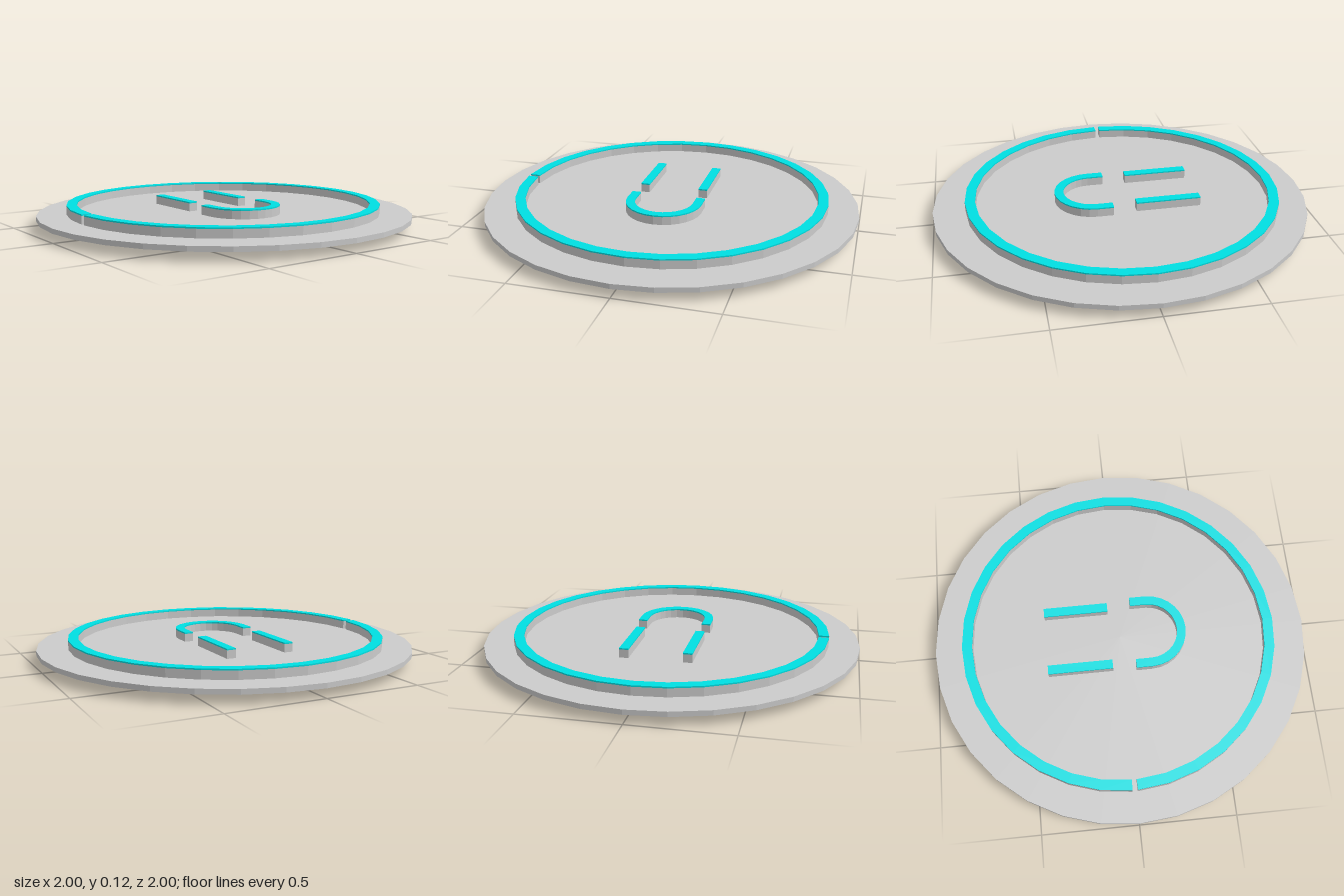
import * as THREE from 'three';

const grey = new THREE.MeshStandardMaterial({ color: 0xcccccc, flatShading: true });
const smoothGrey = new THREE.MeshStandardMaterial({ color: 0xcccccc });
const cyan = new THREE.MeshStandardMaterial({ color: 0x00dfe2, flatShading: true });

const DISC_BOTTOM = 0.045, DISC_TOP = 0.07, CAP_BOTTOM = 0.113, TOP = 0.12;

// Outline points along an arc, in plan (x, z)
function arc(cx, cz, r, from, to, steps) {
  const pts = [];
  for (let i = 0; i <= steps; i++) {
    const a = from + (to - from) * i / steps;
    pts.push(new THREE.Vector2(cx + r * Math.cos(a), cz + r * Math.sin(a)));
  }
  return pts;
}

// Raises a plan outline from one height to another
function slab(outline, bottom, top, material, name) {
  const shape = new THREE.Shape(outline.map(p => new THREE.Vector2(p.x, -p.y)));
  const geo = new THREE.ExtrudeGeometry(shape, { depth: top - bottom, bevelEnabled: false });
  geo.rotateX(-Math.PI / 2);
  geo.translate(0, bottom, 0);
  const mesh = new THREE.Mesh(geo, material);
  mesh.name = name;
  return mesh;
}

// Grey raised body with a thin cyan cap
function raised(outline, name) {
  const group = new THREE.Group();
  group.name = name;
  group.add(slab(outline, DISC_TOP, CAP_BOTTOM, grey, name + 'Body'));
  group.add(slab(outline, CAP_BOTTOM, TOP, cyan, name + 'Cap'));
  return group;
}

function rect(x0, x1, z0, z1) {
  return [[x0, z0], [x1, z0], [x1, z1], [x0, z1]].map(p => new THREE.Vector2(...p));
}

// Wire lying under the disc; its last point turns up into the disc
function wire(plan, name) {
  const r = 0.008;
  const pts = plan.map(([x, z]) => new THREE.Vector3(x, r, z));
  const end = pts[pts.length - 1];
  pts.push(new THREE.Vector3(end.x, 0.02, end.z), new THREE.Vector3(end.x, DISC_BOTTOM + 0.01, end.z));
  const curve = new THREE.CatmullRomCurve3(pts, false, 'centripetal');
  const group = new THREE.Group();
  group.name = name;
  group.add(new THREE.Mesh(new THREE.TubeGeometry(curve, 48, r, 8), smoothGrey));
  // Closed free end
  const tip = new THREE.Mesh(new THREE.SphereGeometry(r, 8, 6), smoothGrey);
  tip.position.copy(pts[0]);
  tip.name = name + 'Tip';
  group.add(tip);
  return group;
}

export function createModel() {
  const model = new THREE.Group();
  model.name = 'emblemDisc';

  // Base disc
  const disc = new THREE.Mesh(new THREE.CylinderGeometry(1, 1, DISC_TOP - DISC_BOTTOM, 32), grey);
  disc.position.y = (DISC_BOTTOM + DISC_TOP) / 2;
  disc.name = 'baseDisc';
  model.add(disc);

  // Rim ring, split by a narrow gap on the right
  const ringZ = -0.01, gap = 0.012;
  const a0 = -Math.PI + gap, a1 = Math.PI - gap - 0.008;
  model.add(raised([
    ...arc(0, ringZ, 0.84, a0, a1, 32),
    ...arc(0, ringZ, 0.787, a1, a0, 32),
  ], 'rimRing'));

  // Two straight bars
  model.add(raised(rect(-0.19, -0.142, -0.4, -0.055), 'rightBar'));
  model.add(raised(rect(0.136, 0.184, -0.4, -0.055), 'leftBar'));

  // U-shaped bar
  model.add(raised([
    new THREE.Vector2(0.203, 0.07),
    ...arc(0.002, 0.155, 0.201, 0, Math.PI, 14),
    new THREE.Vector2(-0.199, 0.07),
    new THREE.Vector2(-0.152, 0.07),
    ...arc(0.002, 0.155, 0.154, Math.PI, 0, 14),
    new THREE.Vector2(0.156, 0.07),
  ], 'curvedBar'));

  // Wires on the underside
  model.add(wire([[-0.162, -0.36], [-0.165, -0.46], [-0.185, -0.53], [-0.25, -0.575], [-0.36, -0.587],
    [-0.48, -0.58], [-0.57, -0.56], [-0.625, -0.525], [-0.64, -0.505]], 'curvedWire'));
  model.add(wire([[0.18, 0.165], [0.168, 0], [0.163, -0.075], [0.163, -0.088]], 'leftWire'));
  model.add(wire([[-0.165, -0.135], [-0.172, 0], [-0.178, 0.105], [-0.178, 0.118]], 'rightWire'));

  return model;
}
